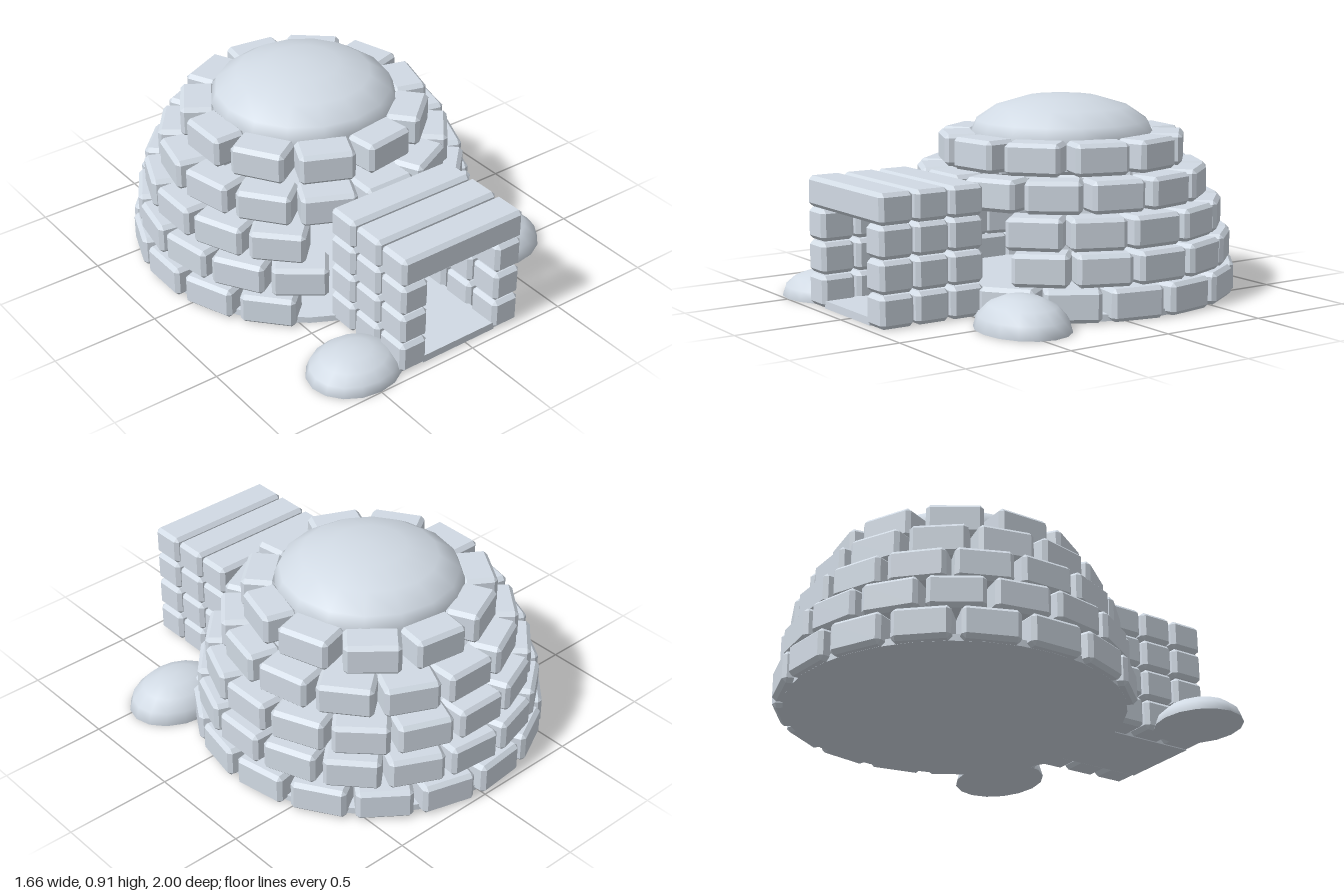
import * as THREE from 'three';
import { ConvexGeometry } from 'three/addons/geometries/ConvexGeometry.js';

const snow = new THREE.MeshStandardMaterial({ color: 0xd1dae4 });
snow.name = 'snow';

const CX = -0.038, CZ = -0.195; // centre of the round house

// Box with every edge chamfered by c, flat faced
function chamferBox(w, h, d, c) {
  const points = [];
  for (const sx of [-1, 1]) for (const sy of [-1, 1]) for (const sz of [-1, 1]) {
    const x = w / 2, y = h / 2, z = d / 2;
    points.push(
      new THREE.Vector3(sx * x, sy * (y - c), sz * (z - c)),
      new THREE.Vector3(sx * (x - c), sy * y, sz * (z - c)),
      new THREE.Vector3(sx * (x - c), sy * (y - c), sz * z));
  }
  return new ConvexGeometry(points);
}

function add(parent, name, geometry, x, y, z) {
  const mesh = new THREE.Mesh(geometry, snow);
  mesh.name = name;
  mesh.position.set(x, y, z);
  parent.add(mesh);
  return mesh;
}

// Flattened half ball with a closed underside
function mound(parent, name, x, y, z, rx, ry, rz) {
  const group = new THREE.Group();
  group.name = name;
  group.position.set(x, y, z);
  group.scale.set(rx, ry, rz);
  add(group, name + 'Top', new THREE.SphereGeometry(1, 16, 4, 0, Math.PI * 2, 0, Math.PI / 2), 0, 0, 0);
  const base = new THREE.CircleGeometry(1, 16);
  base.rotateX(Math.PI / 2);
  add(group, name + 'Base', base, 0, 0, 0);
  parent.add(group);
}

export function createModel() {
  const model = new THREE.Group();
  model.name = 'snowHouse';

  // Rings of blocks, alternate rings shifted by half a block
  const depth = 0.16;
  const block = chamferBox(0.25, 0.145, depth, 0.018);
  const rings = [[17, 0.797], [17, 0.775], [16, 0.733], [14, 0.662], [11, 0.561]];
  rings.forEach(([count, outer], row) => {
    const ring = new THREE.Group();
    ring.name = 'blockRing' + (row + 1);
    for (let i = 0; i < count; i++) {
      const a = Math.PI + (i + (row % 2) / 2) * Math.PI * 2 / count;
      // leave the doorway open in the lower three rings
      if (row < 3 && Math.sin(a) > Math.cos(0.54)) continue;
      const r = outer - depth / 2;
      const m = add(ring, 'wallBlock', block, CX + r * Math.cos(a), 0.073 + row * 0.149, CZ + r * Math.sin(a));
      m.rotation.y = Math.PI / 2 - a;
    }
    model.add(ring);
  });

  // Crown and floor of the house
  mound(model, 'crown', CX, 0.715, CZ, 0.437, 0.195, 0.434);
  add(model, 'houseFloor', new THREE.CylinderGeometry(0.76, 0.76, 0.03, 32), CX, 0.015, CZ);

  // Entrance tunnel: three arches of stacked blocks with a lintel
  const tunnel = new THREE.Group();
  tunnel.name = 'entranceTunnel';
  const post = chamferBox(0.14, 0.143, 0.163, 0.018);
  const lintel = chamferBox(0.653, 0.138, 0.163, 0.018);
  for (let k = 0; k < 3; k++) {
    const z = 0.53 + k * 0.175;
    for (const side of [-1, 1])
      for (let row = 0; row < 3; row++)
        add(tunnel, 'tunnelBlock', post, -0.036 + side * 0.257, 0.073 + row * 0.149, z);
    add(tunnel, 'lintel', lintel, -0.036, 0.514, z);
  }
  add(tunnel, 'tunnelFloor', new THREE.BoxGeometry(0.4, 0.035, 0.6), -0.036, 0.0175, 0.65);
  model.add(tunnel);

  // Snow drifts beside the tunnel
  mound(model, 'rightDrift', -0.5, 0, 0.807, 0.22, 0.117, 0.19);
  mound(model, 'leftDrift', 0.58, 0, 0.447, 0.245, 0.148, 0.195);

  return model;
}
